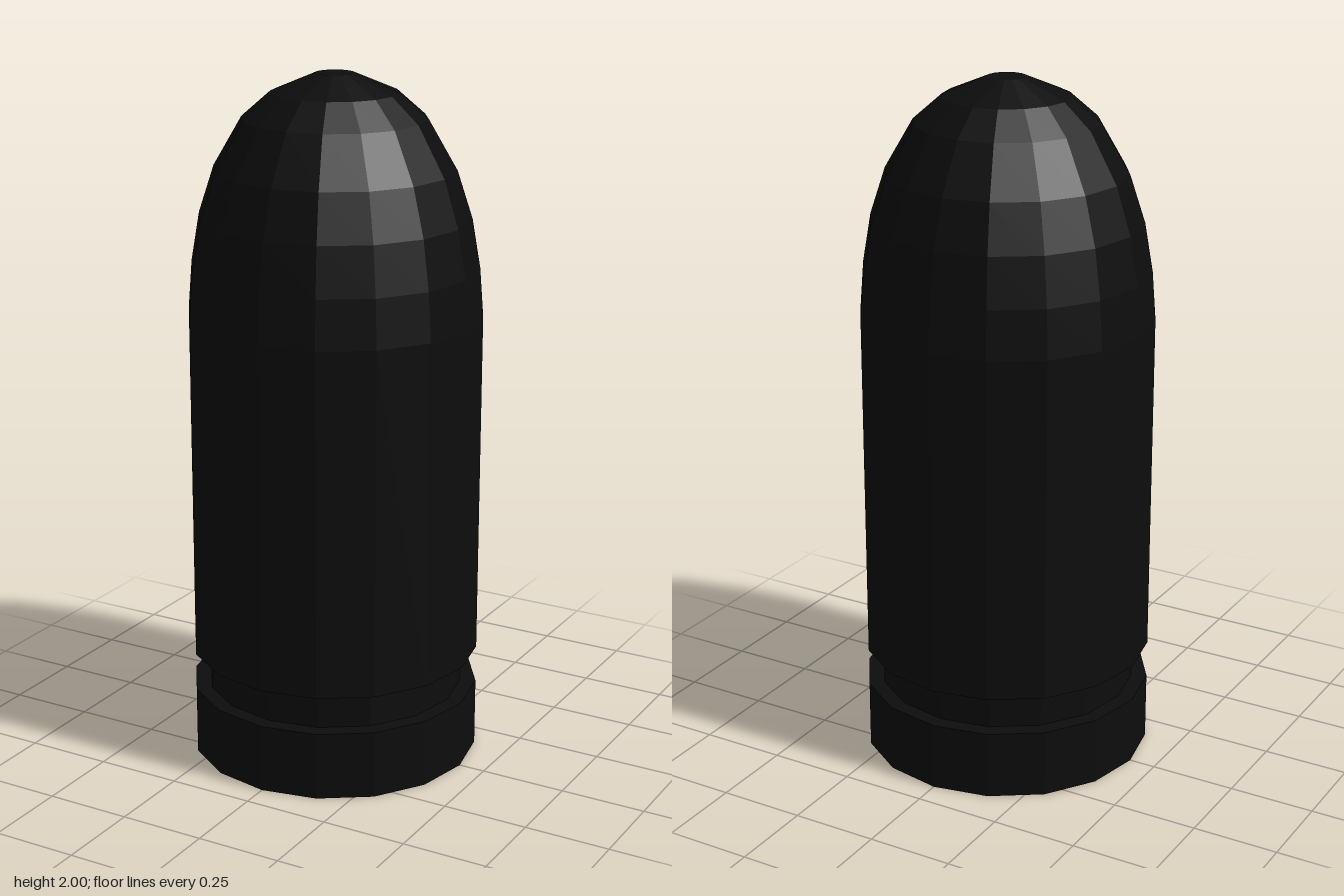
import * as THREE from 'three';

const SIDES = 16;

export function createModel() {
  const model = new THREE.Group();
  model.name = 'cartridge';
  const material = new THREE.MeshStandardMaterial({ color: 0x0d0d0d, flatShading: true });

  // Faceted part turned from [radius, height] points, listed bottom to top
  function turned(name, profile) {
    const points = profile.map(([r, y]) => new THREE.Vector2(r, y));
    const mesh = new THREE.Mesh(new THREE.LatheGeometry(points, SIDES), material);
    mesh.name = name;
    model.add(mesh);
  }

  // Base rim with closed underside
  turned('baseRim', [[0, 0], [0.422, 0], [0.422, 0.2], [0.376, 0.2]]);

  // Recessed extraction groove
  turned('groove', [[0.376, 0.2], [0.376, 0.31]]);

  // Straight casing, with the shoulder above the groove
  turned('casing', [[0.376, 0.31], [0.422, 0.31], [0.422, 1.32]]);

  // Rounded nose with a small flat tip
  turned('nose', [
    [0.422, 1.32], [0.411, 1.46], [0.387, 1.6], [0.343, 1.735],
    [0.262, 1.875], [0.18, 1.947], [0.055, 2], [0, 2],
  ]);

  return model;
}
